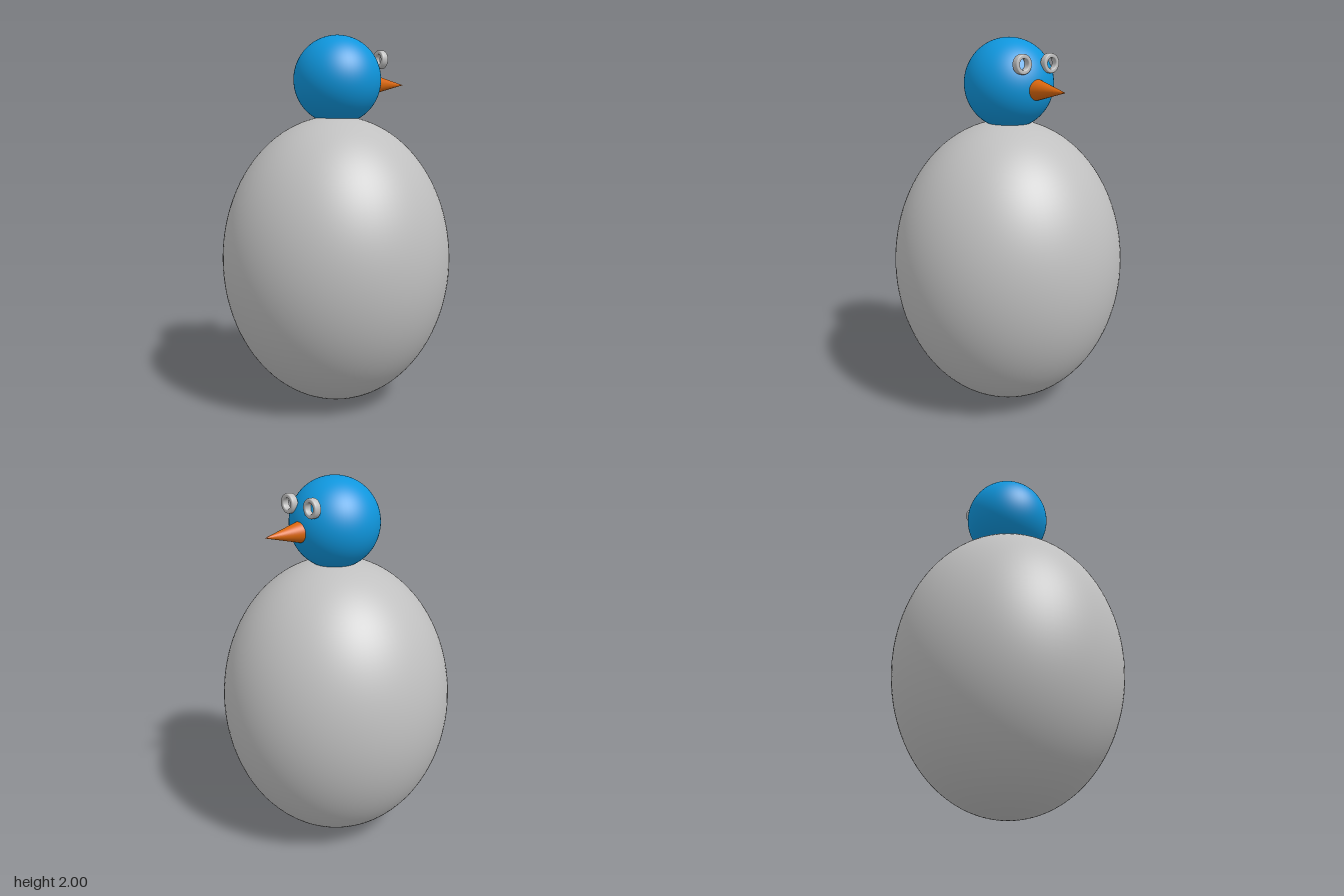
import * as THREE from 'three';

export function createModel() {
  const model = new THREE.Group();
  const mat = (name, color) => {
    const m = new THREE.MeshStandardMaterial({ color });
    m.name = name;
    return m;
  };
  const grey = mat('grey', 0xc0c0c0);
  const blue = mat('blue', 0x0f96dd);
  const orange = mat('orange', 0xd9660d);

  const add = (name, geometry, material, x, y, z) => {
    const mesh = new THREE.Mesh(geometry, material);
    mesh.name = name;
    mesh.position.set(x, y, z);
    model.add(mesh);
    return mesh;
  };

  // Egg-shaped body and round head
  add('body', new THREE.SphereGeometry(1, 96, 64).scale(0.625, 0.787, 0.625), grey, 0, 0.787, 0);
  add('head', new THREE.SphereGeometry(0.236, 64, 48), blue, 0.008, 1.764, 0);

  // Beak pointing along +x
  const beak = new THREE.ConeGeometry(0.053, 0.207, 48).rotateZ(-Math.PI / 2);
  add('beak', beak, orange, 0.3415, 1.745, 0);

  // Ring eyes: a rounded oblong section turned around the x axis
  const section = [];
  const steps = 32;
  for (let i = 0; i <= steps; i++) {
    const a = (i / steps) * Math.PI * 2;
    const round = (v) => Math.sign(v) * Math.sqrt(Math.abs(v));
    section.push(new THREE.Vector2(0.0385 + 0.0115 * round(Math.cos(a)), 0.019 * round(Math.sin(a))));
  }
  const ring = new THREE.LatheGeometry(section, 40).rotateZ(-Math.PI / 2);
  for (const side of [-1, 1]) {
    add(side > 0 ? 'leftEye' : 'rightEye', ring, grey, 0.226, 1.873, side * 0.09);
  }

  return model;
}
